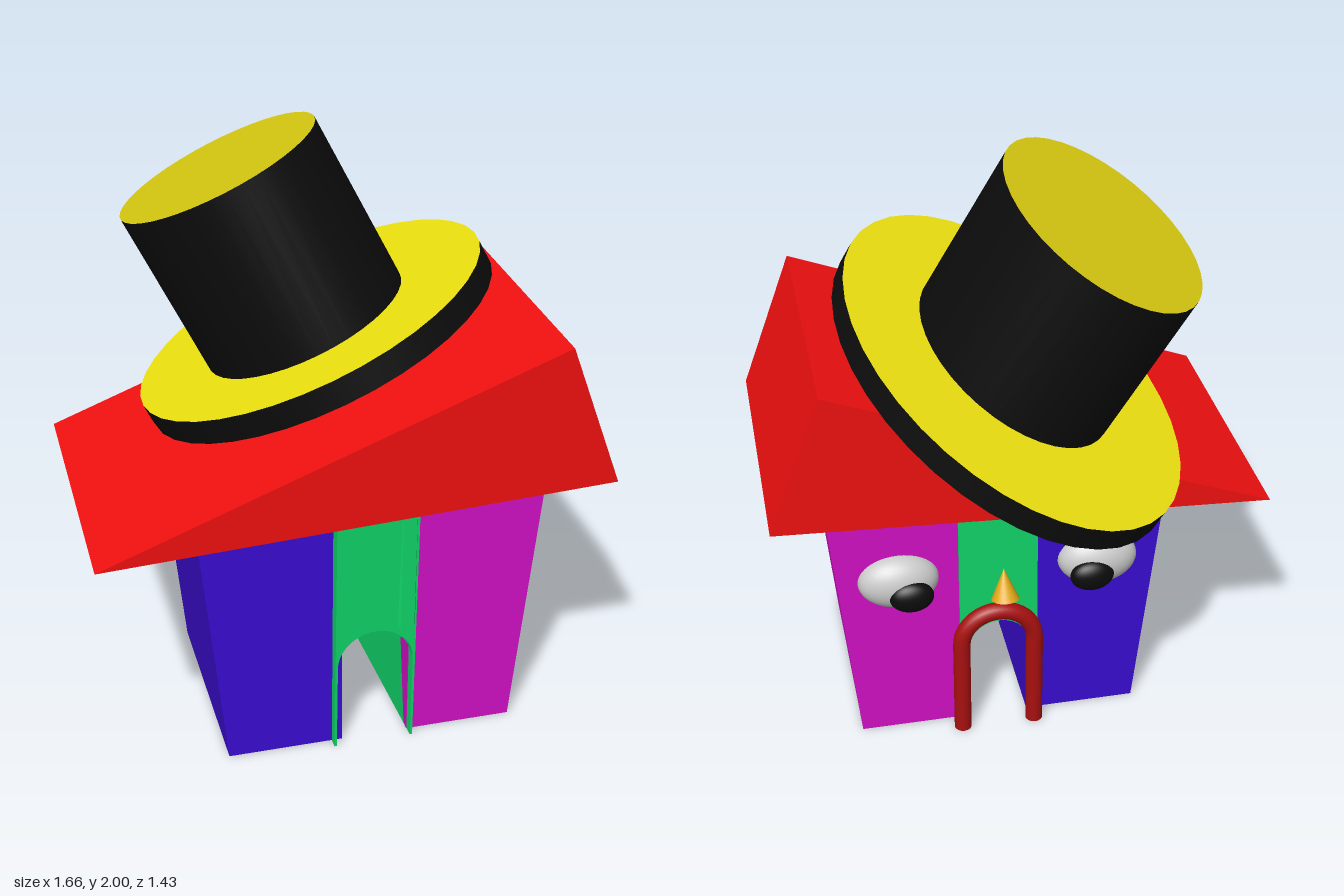
import * as THREE from 'three';

const mat = (color) => new THREE.MeshStandardMaterial({ color });
const RED = mat(0xf01010), BLUE = mat(0x3a0cd0), MAGENTA = mat(0xd010c4), GREEN = mat(0x10d468);
const BLACK = mat(0x0c0c0c), WHITE = mat(0xe8e8e8), YELLOW = mat(0xf2e610);
const DARK_YELLOW = mat(0xd8ca10), MOUTH = mat(0xa81010), GOLD = mat(0xe0a818);

function part(parent, name, geometry, material, x = 0, y = 0, z = 0) {
  const mesh = new THREE.Mesh(geometry, material);
  mesh.name = name;
  mesh.position.set(x, y, z);
  parent.add(mesh);
  return mesh;
}

// Extrude an outline in the xy plane between two depths
function slab(shape, z0, z1) {
  const geo = new THREE.ExtrudeGeometry(shape, { depth: z1 - z0, bevelEnabled: false, curveSegments: 16 });
  return geo.translate(0, 0, z0);
}

const outline = (points) => new THREE.Shape(points.map(([x, y]) => new THREE.Vector2(x, y)));

// Squashed sphere
const ellipsoid = (rx, ry, rz) => new THREE.SphereGeometry(1, 32, 20).scale(rx, ry, rz);

// Central block with a tunnel that widens towards the front, leaning slightly
function archGeometry() {
  const cx = 0.075, r = 0.104, spring = 0.315, z0 = -0.22, z1 = 0.575;
  const s = new THREE.Shape();
  s.moveTo(-0.06, 0);
  s.lineTo(cx - r, 0);
  s.lineTo(cx - r, spring);
  s.absarc(cx, spring, r, Math.PI, 0, true);
  s.lineTo(cx + r, 0);
  s.lineTo(0.21, 0);
  s.lineTo(0.21, 0.91);
  s.lineTo(-0.06, 0.898);
  const geo = slab(s, z0, z1);
  const p = geo.attributes.position;
  for (let i = 0; i < p.count; i++) {
    const x = p.getX(i), y = p.getY(i), z = p.getZ(i);
    if (z > 0.5 && y < 0.5 && Math.abs(x - cx) < 0.11) {
      p.setX(i, cx + (x - cx) * 1.22);
      if (y > spring) p.setY(i, spring + (y - spring) * 1.22);
    }
    p.setZ(i, z + 0.016 * y);
  }
  geo.computeVertexNormals();
  return geo;
}

export function createModel() {
  const model = new THREE.Group();
  model.name = 'houseWithHat';

  // Walls
  part(model, 'blueWall', slab(outline([[-0.41, 0], [-0.025, 0], [-0.03, 0.9], [-0.5, 0.878]]), -0.2, 0.54), BLUE);
  part(model, 'magentaWall', slab(outline([[0.2, 0], [0.56, 0], [0.65, 0.938], [0.195, 0.914]]), -0.2, 0.54), MAGENTA);
  part(model, 'archBlock', archGeometry(), GREEN);

  // Chamfered rib on the front of the arch block
  const rib = new THREE.Shape();
  rib.moveTo(0.14, 0);
  rib.lineTo(0.21, 0);
  rib.lineTo(0.2, 0.02);
  rib.lineTo(0.155, 0.02);
  const ribGeo = new THREE.ExtrudeGeometry(rib, { depth: 0.46, bevelEnabled: false });
  ribGeo.rotateX(Math.PI / 2).translate(0, 0.91, 0.572);
  part(model, 'frontRib', ribGeo, GREEN);

  // Lopsided roof
  part(model, 'roof', slab(outline([[-0.83, 0.862], [0.83, 0.946], [0.65, 1.43]]), -0.31, 0.68), RED);

  // Tilted oval top hat
  const hat = new THREE.Group();
  hat.name = 'hat';
  hat.position.set(0, 1.275, 0);
  hat.rotation.set(-0.208, 0.25, 0.456, 'XZY');
  const brim = new THREE.CylinderGeometry(1, 1, 0.084, 40).scale(0.59, 1, 0.735);
  part(hat, 'hatBrim', brim, [BLACK, YELLOW, YELLOW]);
  const crown = new THREE.CylinderGeometry(1, 1, 0.592, 40).scale(0.335, 1, 0.415);
  part(hat, 'hatCrown', crown, [BLACK, DARK_YELLOW, YELLOW], -0.02, 0.327, 0.03);
  model.add(hat);

  // Eyes on the back wall, pupils turned inwards
  for (const [side, x, px] of [['left', 0.415, 0.38], ['right', -0.268, -0.236]]) {
    part(model, side + 'Eye', ellipsoid(0.137, 0.098, 0.08), WHITE, x, 0.635, -0.2);
    part(model, side + 'Pupil', ellipsoid(0.075, 0.057, 0.04), BLACK, px, 0.608, -0.268);
  }

  // Nose
  const nose = part(model, 'nose', new THREE.ConeGeometry(0.048, 0.11, 24), GOLD, 0.06, 0.592, -0.238);
  nose.rotation.x = 0.25;

  // Mouth: an upside-down U of tube
  const path = new THREE.CurvePath();
  const mx = 0.085, mr = 0.127, my = 0.363, mz = -0.25;
  const arc = [];
  for (let i = 0; i <= 12; i++) {
    const a = Math.PI * (1 - i / 12);
    arc.push(new THREE.Vector3(mx + mr * Math.cos(a), my + mr * Math.sin(a), mz));
  }
  path.add(new THREE.LineCurve3(new THREE.Vector3(mx - mr, 0, mz), arc[0]));
  path.add(new THREE.CatmullRomCurve3(arc));
  path.add(new THREE.LineCurve3(arc[12], new THREE.Vector3(mx + mr, 0, mz)));
  part(model, 'mouth', new THREE.TubeGeometry(path, 72, 0.03, 16), MOUTH);
  for (const s of [-1, 1]) {
    const cap = new THREE.CircleGeometry(0.03, 16).rotateX(Math.PI / 2);
    part(model, 'mouthEnd', cap, MOUTH, mx + s * mr, 0, mz);
  }

  return model;
}
